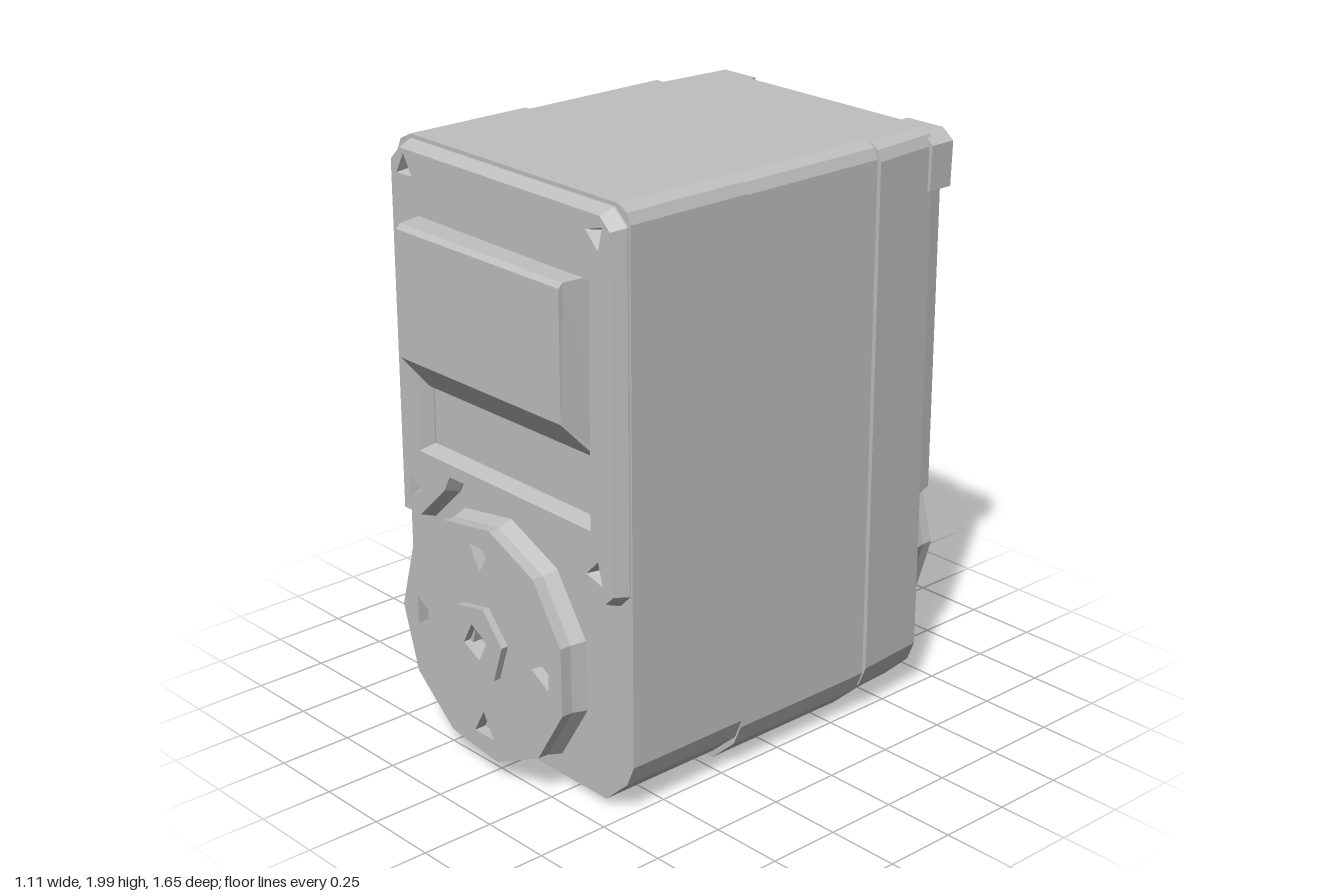
import * as THREE from 'three';

const grey = new THREE.MeshStandardMaterial({ color: 0xbfbfbf, flatShading: true });
grey.name = 'housing grey';

const toPoints = (list) => list.map(([x, y]) => new THREE.Vector2(x, y));

// Small triangular screw recess outline
function triangle(x, y, r, turn) {
  return [0, 1, 2].map((i) => {
    const a = turn + (i * Math.PI * 2) / 3;
    return [x + r * Math.cos(a), y + r * Math.sin(a)];
  });
}

function ring(x, y, r, n, turn = 0) {
  return Array.from({ length: n }, (_, i) => {
    const a = turn + (i * Math.PI * 2) / n;
    return [x + r * Math.cos(a), y + r * Math.sin(a)];
  });
}

function addMesh(parent, name, geometry) {
  const mesh = new THREE.Mesh(geometry, grey);
  mesh.name = name;
  parent.add(mesh);
  return mesh;
}

function prism(outline, holes, z0, z1) {
  const shape = new THREE.Shape(toPoints(outline));
  holes.forEach((h) => shape.holes.push(new THREE.Path(toPoints(h))));
  const geo = new THREE.ExtrudeGeometry(shape, { depth: z1 - z0, bevelEnabled: false });
  return geo.translate(0, 0, z0);
}

// Plate whose front face has the given outline and whose sides slope outward behind it
function slopedPlate(outline, holes, front, slope, spread) {
  const shape = new THREE.Shape(toPoints(outline));
  holes.forEach((h) => shape.holes.push(new THREE.Path(toPoints(h))));
  const geo = new THREE.ExtrudeGeometry(shape, {
    depth: 0.005, bevelEnabled: true, bevelThickness: slope, bevelSize: spread, bevelSegments: 1,
  });
  return geo.translate(0, 0, front - slope - 0.005);
}

// Case cross-section with chamfered corners
function caseOutline(left, right, bottom, top) {
  return [
    [left + 0.12, bottom], [right - 0.13, bottom], [right - 0.03, bottom + 0.09], [right, bottom + 0.16],
    [right, top - 0.06], [right - 0.015, top - 0.025], [right - 0.05, top - 0.005],
    [left + 0.07, top], [left + 0.02, top - 0.025], [left, top - 0.07], [left, bottom + 0.14],
  ];
}

// Round drive plate with four screw recesses; faces +z
function addWheel(parent, name, x, back, front, hubBack) {
  const wheel = new THREE.Group();
  wheel.name = name;
  parent.add(wheel);
  const cy = 0.465;
  const holes = [0, 1, 2, 3].map((i) => {
    const a = (i * Math.PI) / 2;
    return triangle(x + 0.3 * Math.cos(a), cy + 0.3 * Math.sin(a), 0.055, a + Math.PI);
  });
  holes.push(ring(x, cy, 0.055, 4, 0.5));
  const turn = 0.3;
  addMesh(wheel, name + ' face', prism(ring(x, cy, 0.405, 11, turn), holes, front - 0.04, front));
  const rim = new THREE.CylinderGeometry(0.405, 0.42, front - 0.04 - back, 11);
  rim.rotateX(Math.PI / 2).rotateZ(turn + Math.PI / 2);
  rim.translate(x, cy, (front - 0.04 + back) / 2);
  addMesh(wheel, name + ' rim', rim);
  const hub = new THREE.CylinderGeometry(0.19, 0.24, back - hubBack + 0.02, 9);
  hub.rotateX(Math.PI / 2).translate(x, cy, (back + hubBack) / 2);
  addMesh(wheel, name + ' hub', hub);
  return wheel;
}

export function createModel() {
  const model = new THREE.Group();
  model.name = 'geared motor unit';

  // Three case sections stacked from front to back
  addMesh(model, 'front case', prism(caseOutline(-0.555, 0.54, 0.03, 1.995), [], 0.2, 0.66));
  addMesh(model, 'middle case', prism(caseOutline(-0.548, 0.535, 0.003, 1.99), [], -0.36, 0.2));
  const rear = prism(caseOutline(-0.53, 0.55, 0.025, 1.985), [], -0.62, -0.36);
  const p = rear.attributes.position;
  for (let i = 0; i < p.count; i++) {
    if (p.getZ(i) < -0.5) p.setX(i, p.getX(i) * 0.96);
  }
  rear.computeVertexNormals();
  addMesh(model, 'rear case', rear);

  // Front panel with window opening, arch above the wheel and corner recesses
  const panel = [
    [-0.3, 0.87], [-0.43, 0.745], [-0.515, 0.745], [-0.515, 1.92], [-0.47, 1.965],
    [0.47, 1.96], [0.515, 1.92], [0.515, 0.78], [0.48, 0.745], [0.42, 0.745],
    [0.29, 0.87], [0.27, 0.925], [-0.27, 0.925],
  ].reverse();
  const screws = [[-0.45, 1.905], [0.45, 1.895], [-0.46, 0.835], [0.435, 0.83]]
    .map(([x, y], i) => triangle(x, y, 0.045, i * 1.3 - 0.5));
  const opening = [[-0.425, 0.97], [0.415, 0.965], [0.42, 1.755], [-0.415, 1.765]];
  addMesh(model, 'front panel', slopedPlate(panel, [opening, ...screws], 0.715, 0.05, 0.018));

  // Projecting block in the window, sloped underneath and narrowing forward
  const block = prism([[0.64, 1.18], [0.675, 1.185], [0.8, 1.32], [0.8, 1.74], [0.785, 1.755], [0.64, 1.76]], [], -0.41, 0.41);
  block.rotateY(-Math.PI / 2);
  const b = block.attributes.position;
  for (let i = 0; i < b.count; i++) {
    if (b.getZ(i) > 0.7) b.setX(i, b.getX(i) * 0.94);
  }
  block.computeVertexNormals();
  addMesh(model, 'front block', block);

  // Front wheel with hexagonal boss
  const wheel = addWheel(model, 'front wheel', -0.015, 0.715, 0.805, 0.65);
  addMesh(wheel, 'front boss', prism(
    ring(-0.015, 0.475, 0.135, 6, 0.2), [ring(-0.015, 0.475, 0.06, 4, 0.3)], 0.77, 0.83));

  // Rear details are built facing +z, then turned around
  const back = new THREE.Group();
  back.name = 'rear details';
  back.rotation.y = Math.PI;
  model.add(back);
  addWheel(back, 'rear wheel', 0, 0.715, 0.825, 0.61);

  // Raised cover with a shallow recessed face
  const cover = [[-0.31, 0.87], [0.31, 0.87], [0.31, 1.93], [-0.31, 1.93]];
  const recess = [[-0.26, 0.97], [0.26, 0.97], [0.26, 1.9], [-0.26, 1.9]];
  addMesh(back, 'rear cover', slopedPlate(cover, [recess], 0.74, 0.11, 0.03));
  addMesh(back, 'rear cover face', prism(recess, [], 0.6, 0.722));

  // Side rails with screw recesses and top corner lugs
  for (const s of [-1, 1]) {
    const rail = [[0.37, 0.87], [0.43, 0.74], [0.51, 0.74], [0.51, 1.8], [0.37, 1.8]].map(([x, y]) => [x * s, y]);
    const holes = [0.84, 1.73].map((y) => triangle(0.45 * s, y, 0.042, y));
    addMesh(back, 'rear rail', slopedPlate(rail, holes, 0.68, 0.065, 0.012));
    const lug = [[0.35, 1.78], [0.54, 1.78], [0.545, 1.93], [0.5, 1.965], [0.35, 1.965]].map(([x, y]) => [x * s, y]);
    addMesh(back, 'rear lug', prism(lug, [], 0.6, 0.695));
  }
  return model;
}
